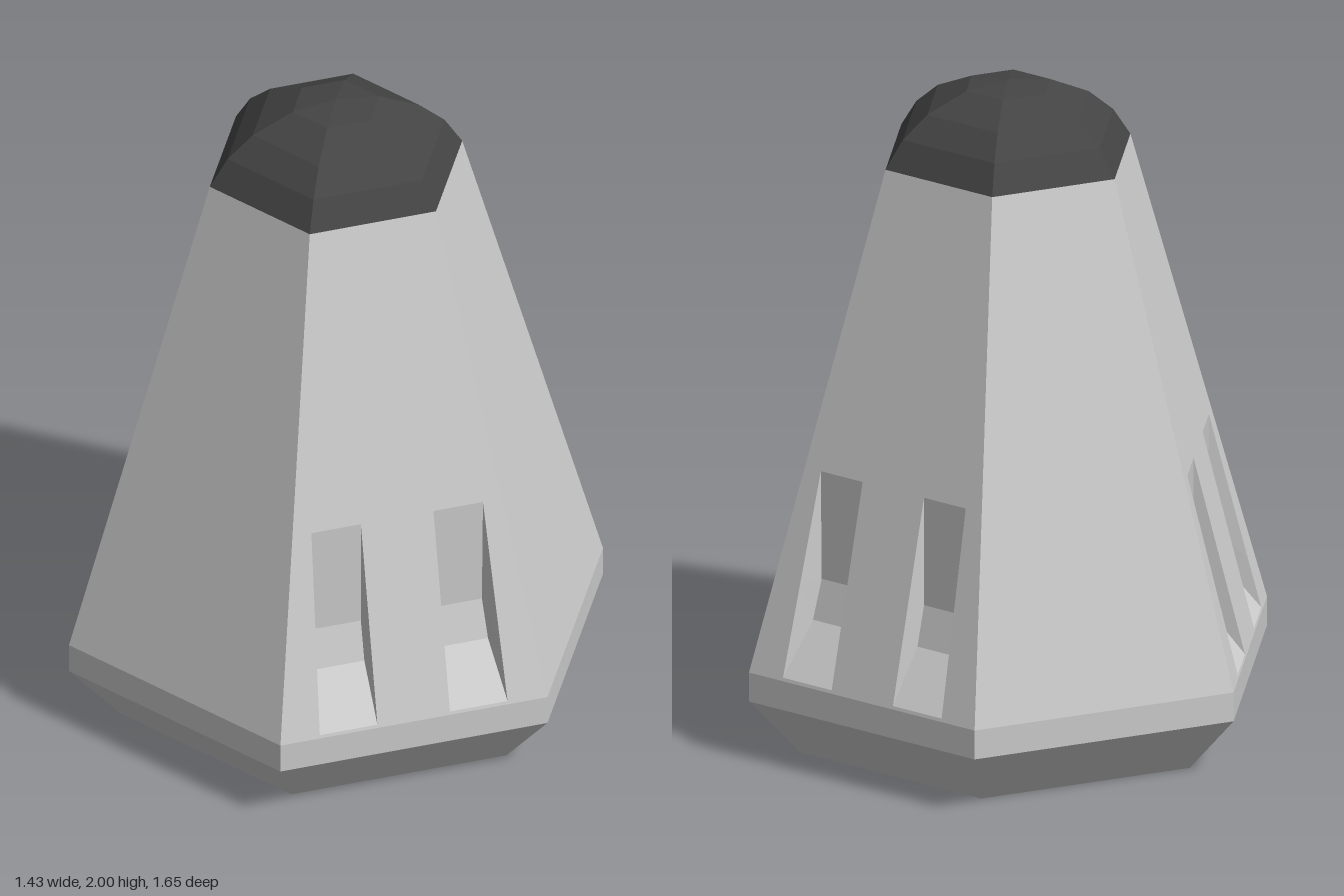
import * as THREE from 'three';

const grey = new THREE.MeshStandardMaterial({ color: 0xcccccc, flatShading: true });
const black = new THREE.MeshStandardMaterial({ color: 0x444444, flatShading: true });

// Tapered sides: bottom and top heights, corner radii
const Y0 = 0.27, Y1 = 1.775, R0 = 0.825, R1 = 0.39;
const FLAT = Math.cos(Math.PI / 6);
const radiusAt = (y) => R0 + ((R1 - R0) * (y - Y0)) / (Y1 - Y0);
const depthAt = (y) => radiusAt(y) * FLAT;

// Slot limits on a side panel
const SLOT_IN = 0.112, SLOT_TOP = 0.885, SLOT_BOTTOM = 0.28;
const mouthOuter = (y) => 0.265 + (0.025 * (SLOT_TOP - y)) / (SLOT_TOP - SLOT_BOTTOM);

function add(parent, name, geometry, material) {
  const mesh = new THREE.Mesh(geometry, material);
  mesh.name = name;
  parent.add(mesh);
  return mesh;
}

function hexLathe(points) {
  return new THREE.LatheGeometry(points.map(([r, y]) => new THREE.Vector2(r, y)), 6);
}

// One sloping panel facing +z, with two openings when slotted
function panelGeometry(slotted) {
  const toPoints = (list) => list.map(([x, y]) => new THREE.Vector2(x, y));
  const shape = new THREE.Shape(toPoints([
    [-R0 / 2, Y0], [R0 / 2, Y0], [R1 / 2, Y1], [-R1 / 2, Y1],
  ]));
  if (slotted) {
    for (const s of [-1, 1]) {
      shape.holes.push(new THREE.Path(toPoints([
        [s * SLOT_IN, SLOT_BOTTOM], [s * SLOT_IN, SLOT_TOP],
        [s * mouthOuter(SLOT_TOP), SLOT_TOP], [s * mouthOuter(SLOT_BOTTOM), SLOT_BOTTOM],
      ])));
    }
  }
  const geometry = new THREE.ShapeGeometry(shape);
  const pos = geometry.attributes.position;
  for (let i = 0; i < pos.count; i++) pos.setZ(i, depthAt(pos.getY(i)));
  geometry.computeVertexNormals();
  return geometry;
}

// Recess: upright back that curves out to the surface at its foot
function slotGeometry(s) {
  const rows = [
    [SLOT_TOP, depthAt(SLOT_TOP), 0.265],
    [0.55, 0.56, 0.262],
    [0.43, 0.592, 0.27],
    [SLOT_BOTTOM, depthAt(SLOT_BOTTOM), 0.29],
  ].map(([y, back, outer]) => {
    const row = [
      [s * SLOT_IN, y, depthAt(y)], [s * SLOT_IN, y, back],
      [s * outer, y, back], [s * mouthOuter(y), y, depthAt(y)],
    ];
    return s > 0 ? row : row.reverse();
  });
  const verts = [];
  for (let r = 0; r < rows.length - 1; r++) {
    for (let c = 0; c < 3; c++) {
      const a = rows[r][c], b = rows[r + 1][c];
      const d = rows[r + 1][c + 1], e = rows[r][c + 1];
      verts.push(...a, ...b, ...d, ...a, ...d, ...e);
    }
  }
  const geometry = new THREE.BufferGeometry();
  geometry.setAttribute('position', new THREE.Float32BufferAttribute(verts, 3));
  geometry.computeVertexNormals();
  return geometry;
}

export function createModel() {
  const model = new THREE.Group();
  model.name = 'hexagonalCone';

  // Base with its hollow core, underside, chamfer and short upright band
  add(model, 'base', hexLathe([
    [0, 1.5], [0.43, 1.5], [0.43, 0], [0.665, 0], [R0, 0.18], [R0, Y0],
  ]), grey);

  // Six sloping sides, every other one slotted
  for (let i = 0; i < 6; i++) {
    const slotted = i % 2 === 1;
    const side = new THREE.Group();
    side.name = slotted ? 'slottedSide' : 'plainSide';
    side.rotation.y = Math.PI / 6 + (i * Math.PI) / 3;
    add(side, 'panel', panelGeometry(slotted), grey);
    if (slotted) {
      for (const s of [-1, 1]) add(side, 'slot', slotGeometry(s), grey);
    }
    model.add(side);
  }

  // Faceted dark cap
  add(model, 'cap', hexLathe([
    [R1, Y1], [0.335, 1.86], [0.257, 1.927], [0.133, 1.983], [0, 2],
  ]), black);

  return model;
}
